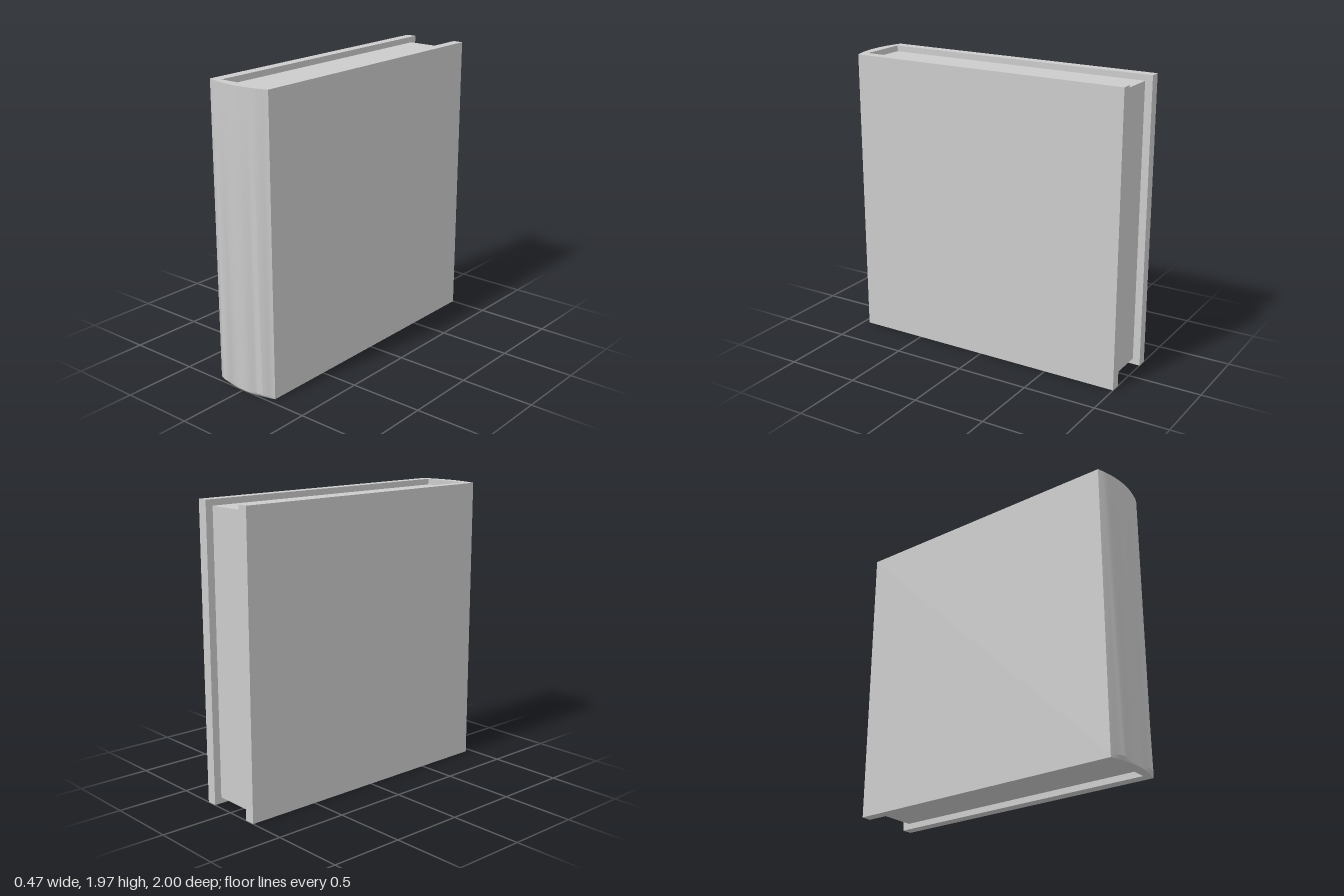
import * as THREE from 'three';
import { toCreasedNormals } from 'three/addons/utils/BufferGeometryUtils.js';

const H = 1.965;         // height of the cover
const W = 0.237;         // half thickness of the book
const IN = 0.166;        // half thickness of the page block
const SIDE = 0.957;      // z where the spine meets the boards
const BULGE = 0.042;     // how far the spine swells forward
const RIM = 0.02;        // height of the fullest spine row

export function createModel() {
  const book = new THREE.Group();
  book.name = 'book';
  const material = new THREE.MeshStandardMaterial({ color: 0xcccccc });
  const add = (geometry, name) => {
    const mesh = new THREE.Mesh(geometry, material);
    mesh.name = name;
    book.add(mesh);
    return mesh;
  };

  // Cover: U-shaped section (two boards and a rounded spine), extruded upward
  const shape = new THREE.Shape();
  shape.moveTo(-W, 1);
  shape.lineTo(-W, -SIDE);
  const n = 14;
  for (let i = 1; i < n; i++) {
    const t = -1 + (2 * i) / n;
    shape.lineTo(W * t, -(SIDE + BULGE * (1 - t * t)));
  }
  shape.lineTo(W, -SIDE);
  shape.lineTo(W, 1);
  shape.lineTo(IN, 1);
  shape.lineTo(IN, -0.93);
  shape.lineTo(-IN, -0.93);
  shape.lineTo(-IN, 1);
  shape.closePath();
  const cover = new THREE.ExtrudeGeometry(shape, { depth: H, steps: 2, bevelEnabled: false });
  cover.rotateX(-Math.PI / 2);

  // Lower the middle row to the rim and make the spine fuller and squarer there
  const p = cover.attributes.position;
  for (let i = 0; i < p.count; i++) {
    if (Math.abs(p.getY(i) - H / 2) > 0.01) continue;
    p.setY(i, RIM);
    if (p.getZ(i) > SIDE + 0.001) {
      const full = Math.min(1, (W - Math.abs(p.getX(i))) / (W - IN));
      p.setZ(i, SIDE + (1 - SIDE) * full);
    }
  }
  add(toCreasedNormals(cover, 0.6), 'cover');

  // Page block, set in from the top, bottom and open edge
  const pages = add(new THREE.BoxGeometry(2 * IN, H - 0.08, 1.88), 'pages');
  pages.position.set(0, H / 2, -0.01);

  return book;
}
